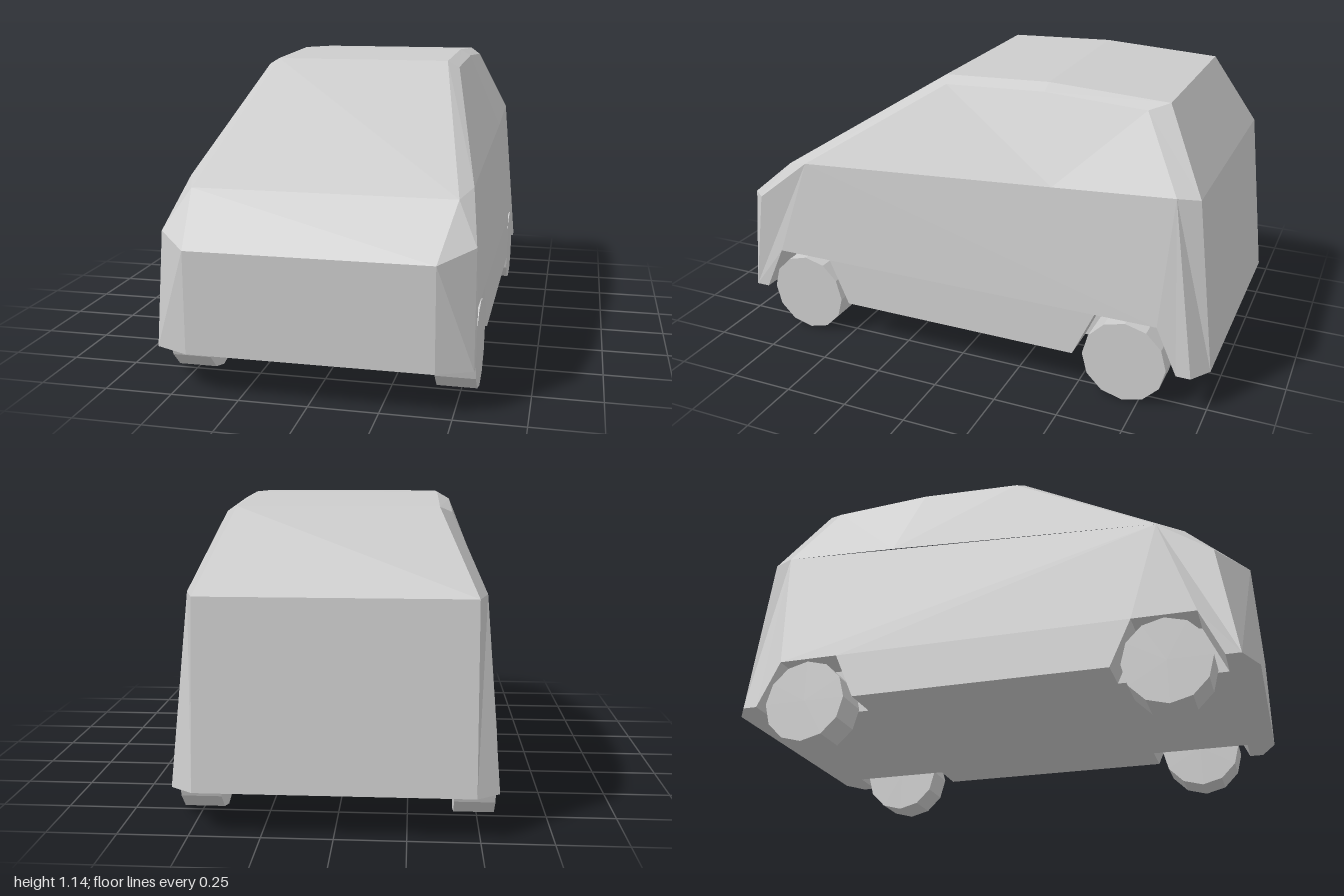
import * as THREE from 'three';

const V = (x, y, z) => new THREE.Vector3(x, y, z);
const material = new THREE.MeshStandardMaterial({ color: 0xcccccc, flatShading: true });
const CENTRE = V(0, 0.6, 0);
const BASE = 0.155, AXLE_Z = 0.69, WHEEL_R = 0.162, WELL_X = 0.41;
const mirror = (p) => V(-p.x, p.y, p.z);

// Collects flat triangles, each turned away from (or towards) a reference point.
class Panel {
  constructor() { this.pos = []; }
  tri(a, b, c, ref = CENTRE, away = true) {
    const n = b.clone().sub(a).cross(c.clone().sub(a));
    const mid = a.clone().add(b).add(c).divideScalar(3);
    const ok = (n.dot(mid.sub(ref)) > 0) === away;
    for (const p of ok ? [a, b, c] : [a, c, b]) this.pos.push(p.x, p.y, p.z);
  }
  fan(points, ref, away) {
    for (let i = 1; i < points.length - 1; i++) this.tri(points[0], points[i], points[i + 1], ref, away);
  }
  // Fills a concave outline, triangulated in the plane of two axes.
  fill(points, u, v) {
    const outline = points.map((p) => new THREE.Vector2(p[u], p[v]));
    for (const [a, b, c] of THREE.ShapeUtils.triangulateShape(outline, [])) {
      this.tri(points[a], points[b], points[c]);
    }
  }
  mesh(name) {
    const g = new THREE.BufferGeometry();
    g.setAttribute('position', new THREE.Float32BufferAttribute(this.pos, 3));
    g.computeVertexNormals();
    const m = new THREE.Mesh(g, material);
    m.name = name;
    return m;
  }
}

// Edge of the centre panels, from front bumper over the roof to the tail.
const inner = [
  V(0.44, BASE, 1), V(0.44, 0.53, 1), V(0.485, 0.705, 0.78), V(0.35, 1.12, 0.12),
  V(0.35, 1.137, -0.3), V(0.35, 1.113, -0.76), V(0.485, 0.82, -0.92), V(0.485, BASE, -1),
];
// Matching edge of the flanks.
const outer = [
  V(0.565, BASE, 0.945), V(0.56, 0.567, 0.885), V(0.525, 0.73, 0.68), V(0.395, 1.095, 0.1),
  V(0.395, 1.112, -0.3), V(0.395, 1.09, -0.69), V(0.515, 0.825, -0.84), V(0.565, BASE, -0.945),
];
const beltMid = V(0.522, 0.797, -0.38);

// Trapezoid wheel arch, listed from back to front.
const arch = (z) => [
  V(0.565, BASE, z - 0.2), V(0.56, 0.335, z - 0.118), V(0.56, 0.335, z + 0.118), V(0.565, BASE, z + 0.2),
];
const atWell = (p) => V(WELL_X, p.y, p.z);

export function createModel() {
  const car = new THREE.Group();
  car.name = 'car';

  // Centre panels
  const names = ['frontBumper', 'bonnet', 'windscreen', 'frontRoof', 'rearRoof', 'rearWindow', 'tailgate'];
  names.forEach((name, i) => {
    const p = new Panel();
    p.fan([inner[i], inner[i + 1], mirror(inner[i + 1]), mirror(inner[i])]);
    car.add(p.mesh(name));
  });

  for (const [side, flip] of [['left', (p) => p], ['right', mirror]]) {
    const I = inner.map(flip), O = outer.map(flip), mid = flip(beltMid);

    // Bevelled strip joining centre panels and flank
    const edge = new Panel();
    for (let i = 0; i < 7; i++) edge.fan([I[i + 1], O[i + 1], O[i], I[i]]);
    car.add(edge.mesh(side + 'EdgeStrip'));

    // Window area above the belt line
    const upper = new Panel();
    upper.fan([mid, O[2], O[3], O[4], O[5], O[6]]);
    car.add(upper.mesh(side + 'UpperSide'));

    // Lower flank with wheel arch cutouts
    const lower = new Panel();
    const arches = [...arch(-AXLE_Z), ...arch(AXLE_Z)].map(flip);
    lower.fill([O[0], O[1], O[2], mid, O[6], O[7], ...arches], 'z', 'y');
    car.add(lower.mesh(side + 'LowerSide'));

    for (const [end, z] of [['Front', AXLE_Z], ['Rear', -AXLE_Z]]) {
      // Wheel well: three sloped walls and an inner wall
      const well = new Panel();
      const ref = flip(V(0.5, 0.2, z));
      const a = arch(z).map(flip), b = arch(z).map(atWell).map(flip);
      for (let i = 0; i < 3; i++) well.fan([a[i], a[i + 1], b[i + 1], b[i]], ref, false);
      well.fan(b, ref, false);
      car.add(well.mesh(side + end + 'WheelWell'));

      // Twelve-sided wheel
      const wheel = new THREE.Mesh(new THREE.CylinderGeometry(WHEEL_R, WHEEL_R, 0.145, 12), material);
      wheel.rotation.z = Math.PI / 2;
      wheel.position.copy(flip(V(0.4875, WHEEL_R, z)));
      wheel.name = side + end + 'Wheel';
      car.add(wheel);
    }
  }

  // Floor, notched at the wheel wells
  const notch = (z) => {
    const a = arch(z);
    return [a[3], atWell(a[3]), atWell(a[0]), a[0]];
  };
  const half = [inner[0], outer[0], ...notch(AXLE_Z), ...notch(-AXLE_Z), outer[7], inner[7]];
  const floor = new Panel();
  floor.fill([...half, ...half.map(mirror).reverse()], 'x', 'z');
  car.add(floor.mesh('floor'));

  return car;
}
